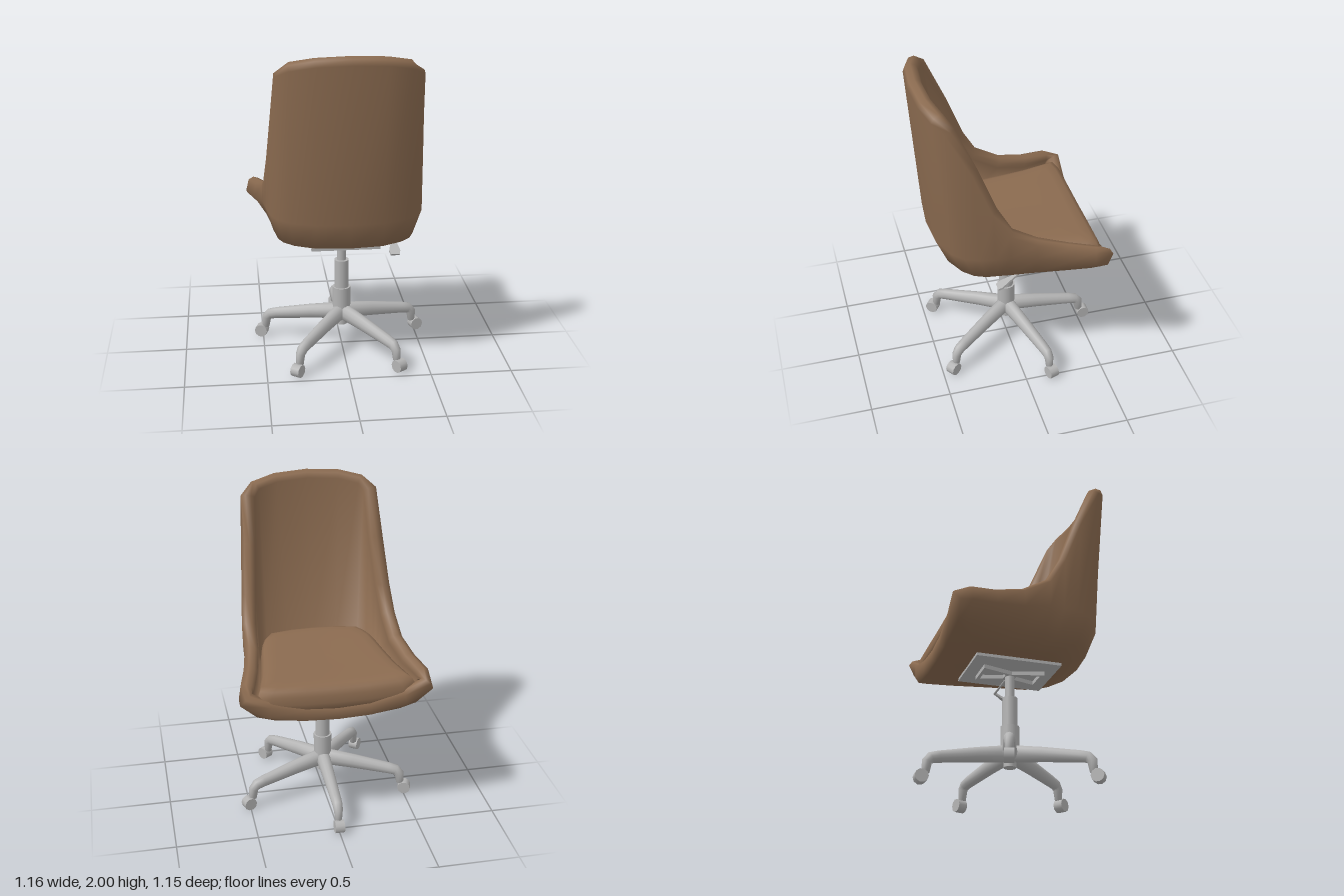
import * as THREE from 'three';

const brown = new THREE.MeshStandardMaterial({ color: 0x8b6b50 });
brown.name = 'brown upholstery';
const grey = new THREE.MeshStandardMaterial({ color: 0xb4b4b4 });
grey.name = 'grey metal';

const V = (x, y, z) => new THREE.Vector3(x, y, z);

function add(parent, name, geo, mat, x = 0, y = 0, z = 0) {
  const mesh = new THREE.Mesh(geo, mat);
  mesh.name = name;
  mesh.position.set(x, y, z);
  parent.add(mesh);
  return mesh;
}

// Skin a stack of closed loops with equal point counts
function loft(rings) {
  const n = rings[0].length, pos = [], idx = [];
  rings.forEach(r => r.forEach(p => pos.push(p.x, p.y, p.z)));
  for (let i = 0; i < rings.length - 1; i++) {
    for (let j = 0; j < n; j++) {
      const a = i * n + j, b = i * n + (j + 1) % n;
      idx.push(a, b, b + n, a, b + n, a + n);
    }
  }
  const g = new THREE.BufferGeometry();
  g.setAttribute('position', new THREE.Float32BufferAttribute(pos, 3));
  g.setIndex(idx);
  g.computeVertexNormals();
  return g;
}

// Half loop from back centre to front centre, mirrored into a full loop
function mirrorLoop(half) {
  const pts = half.map(p => V(...p));
  const other = pts.slice(1, -1).reverse().map(p => V(-p.x, p.y, p.z));
  return pts.concat(other);
}

const scaled = (ring, s, yOf) => ring.map(p => {
  const q = V(p.x * s, 0, -0.06 + (p.z + 0.06) * s);
  q.y = yOf(q);
  return q;
});

// Centre line of the padded rim
const rim = mirrorLoop([
  [0, 1.955, 0.53], [0.2, 1.945, 0.514], [0.33, 1.918, 0.472], [0.385, 1.875, 0.435],
  [0.403, 1.6, 0.318], [0.425, 1.32, 0.21], [0.442, 1.15, 0.112], [0.452, 1.05, -0.055],
  [0.488, 1.0, -0.24], [0.53, 0.975, -0.4], [0.54, 0.95, -0.47],
  [0.41, 0.87, -0.466], [0.2, 0.82, -0.46], [0, 0.807, -0.458]]);
// Widest line of the outer shell
const belt = mirrorLoop([
  [0, 1, 0.508], [0.2, 1, 0.492], [0.35, 1, 0.43], [0.42, 1, 0.365],
  [0.455, 1, 0.28], [0.472, 1, 0.19], [0.482, 1, 0.1], [0.492, 0.97, -0.06],
  [0.535, 0.94, -0.24], [0.578, 0.92, -0.4], [0.58, 0.91, -0.472],
  [0.42, 0.83, -0.496], [0.2, 0.785, -0.494], [0, 0.775, -0.492]]);
// Turn from the shell walls into the underside
const low = mirrorLoop([
  [0, 0.83, 0.44], [0.2, 0.83, 0.42], [0.32, 0.83, 0.36], [0.38, 0.83, 0.3],
  [0.41, 0.83, 0.23], [0.42, 0.83, 0.15], [0.43, 0.83, 0.08], [0.44, 0.825, -0.06],
  [0.46, 0.82, -0.24], [0.48, 0.82, -0.4], [0.48, 0.82, -0.46],
  [0.38, 0.793, -0.465], [0.2, 0.769, -0.465], [0, 0.763, -0.465]]);
// Outline of the seat cushion
const seat = mirrorLoop([
  [0, 0, 0.358], [0.15, 0, 0.347], [0.29, 0, 0.312], [0.33, 0, 0.25],
  [0.355, 0, 0.18], [0.365, 0, 0.13], [0.375, 0, 0.08], [0.395, 0, -0.06],
  [0.425, 0, -0.24], [0.465, 0, -0.4], [0.48, 0, -0.462],
  [0.4, 0, -0.482], [0.2, 0, -0.486], [0, 0, -0.486]]);

const edgeY = p => 0.925 + 0.085 * p.z + 0.08 * p.x * p.x;
const crownY = p => 1.0 + 0.03 * p.z + 0.06 * p.x * p.x;
const underY = p => 0.763 + 0.24 * p.x * p.x;

function shellGeometry() {
  const n = rim.length, r = 0.046;
  const rolls = [0, 1, 2, 3, 4].map(() => []);
  rim.forEach((p, j) => {
    const t = rim[(j + 1) % n].clone().sub(rim[(j + n - 1) % n]).normalize();
    const up = p.clone().sub(belt[j]);
    up.addScaledVector(t, -up.dot(t)).normalize();
    const out = t.clone().cross(up);
    rolls.forEach((ring, k) => {
      const a = k * Math.PI / 4;
      ring.push(p.clone().addScaledVector(out, r * Math.cos(a)).addScaledVector(up, r * Math.sin(a)));
    });
  });
  const inner = scaled(seat, 1.03, q => edgeY(q) - 0.03);
  inner.forEach(p => { p.z = Math.max(p.z, -0.42); });
  return loft([
    scaled(low, 0, underY), scaled(low, 0.62, underY), low, belt,
    ...rolls, inner, scaled(inner, 0, () => 0.84)]);
}

// Thick cushion: [outline scale, blend from edge height to crown height]
function cushionGeometry() {
  const layers = [[1, 0], [0.985, 0.45], [0.95, 0.78], [0.88, 0.95], [0.75, 1], [0.4, 1], [0, 1]];
  return loft([
    scaled(seat, 0, q => edgeY(q) - 0.05),
    scaled(seat, 0.99, q => edgeY(q) - 0.05),
    ...layers.map(([s, m]) => scaled(seat, s, q => edgeY(q) * (1 - m) + crownY(q) * m))]);
}

// Tapered star-base arm running along +z and bending down to its caster
function armGeometry() {
  const path = [[0, 0.232, 0], [0, 0.232, 0.047, 0.055], [0.2, 0.207, 0.04, 0.047],
    [0.43, 0.171, 0.034, 0.037], [0.477, 0.16, 0.032, 0.035], [0.502, 0.134, 0.028, 0.031],
    [0.508, 0.07, 0.022, 0.024], [0.508, 0.07, 0]];
  return loft(path.map(([z, y, w, h = 0], i) => {
    const a = path[Math.max(i - 1, 0)], b = path[Math.min(i + 1, path.length - 1)];
    const d = new THREE.Vector2(b[0] - a[0], b[1] - a[1]).normalize();
    return Array.from({ length: 12 }, (_, k) => {
      const t = k * Math.PI / 6, u = h * Math.sin(t);
      return V(w * Math.cos(t), y + u * d.x, z - u * d.y);
    });
  }));
}

function polygon(points) {
  return new THREE.Shape(points.map(p => new THREE.Vector2(...p)));
}

export function createModel() {
  const chair = new THREE.Group();
  chair.name = 'officeChair';
  add(chair, 'seatShell', shellGeometry(), brown);
  add(chair, 'seatCushion', cushionGeometry(), brown);

  // Mounting plate and bow-tie bracket below the seat
  add(chair, 'mountingPlate', new THREE.BoxGeometry(0.42, 0.018, 0.53), grey, 0, 0.757, -0.005);
  const tie = polygon([[-0.095, -0.19], [0.095, -0.19], [0.04, 0], [0.095, 0.19], [-0.095, 0.19], [-0.04, 0]]);
  for (const s of [1, -1]) {
    tie.holes.push(polygon([[-0.07, 0.17 * s], [0.07, 0.17 * s], [0.03, 0.035 * s], [-0.03, 0.035 * s]]));
  }
  const bracket = new THREE.ExtrudeGeometry(tie, { depth: 0.026, bevelEnabled: false });
  bracket.rotateX(-Math.PI / 2);
  add(chair, 'bracket', bracket, grey, 0, 0.723, 0);

  // Height lever with a flared paddle
  const rod = new THREE.CylinderGeometry(0.007, 0.007, 0.29, 8);
  rod.rotateZ(Math.PI / 2);
  add(chair, 'leverRod', rod, grey, 0.18, 0.74, 0);
  const paddle = new THREE.ExtrudeGeometry(
    polygon([[-0.008, 0], [-0.012, -0.04], [-0.035, -0.135], [-0.028, -0.165], [0.028, -0.165],
      [0.035, -0.135], [0.012, -0.04], [0.008, 0]]),
    { depth: 0.012, bevelEnabled: false });
  add(chair, 'leverPaddle', paddle, grey, 0.322, 0.738, -0.003).rotation.x = -1.025;

  // Telescopic column: radius, bottom, top
  [[0.029, 0.57, 0.73], [0.046, 0.39, 0.585], [0.057, 0.2, 0.4], [0.038, 0.145, 0.22]].forEach(([r, y0, y1]) =>
    add(chair, 'column', new THREE.CylinderGeometry(r, r, y1 - y0, 20), grey, 0, (y0 + y1) / 2, 0));

  // Five arms with casters
  const armGeo = armGeometry();
  const wheelGeo = new THREE.CylinderGeometry(0.041, 0.041, 0.058, 10);
  wheelGeo.rotateZ(Math.PI / 2);
  for (let k = 0; k < 5; k++) {
    const leg = new THREE.Group();
    leg.name = 'baseArm';
    add(leg, 'arm', armGeo, grey);
    add(leg, 'caster', wheelGeo, grey, 0, 0.041, 0.535);
    leg.rotation.y = Math.PI + k * Math.PI * 0.4;
    chair.add(leg);
  }
  return chair;
}
